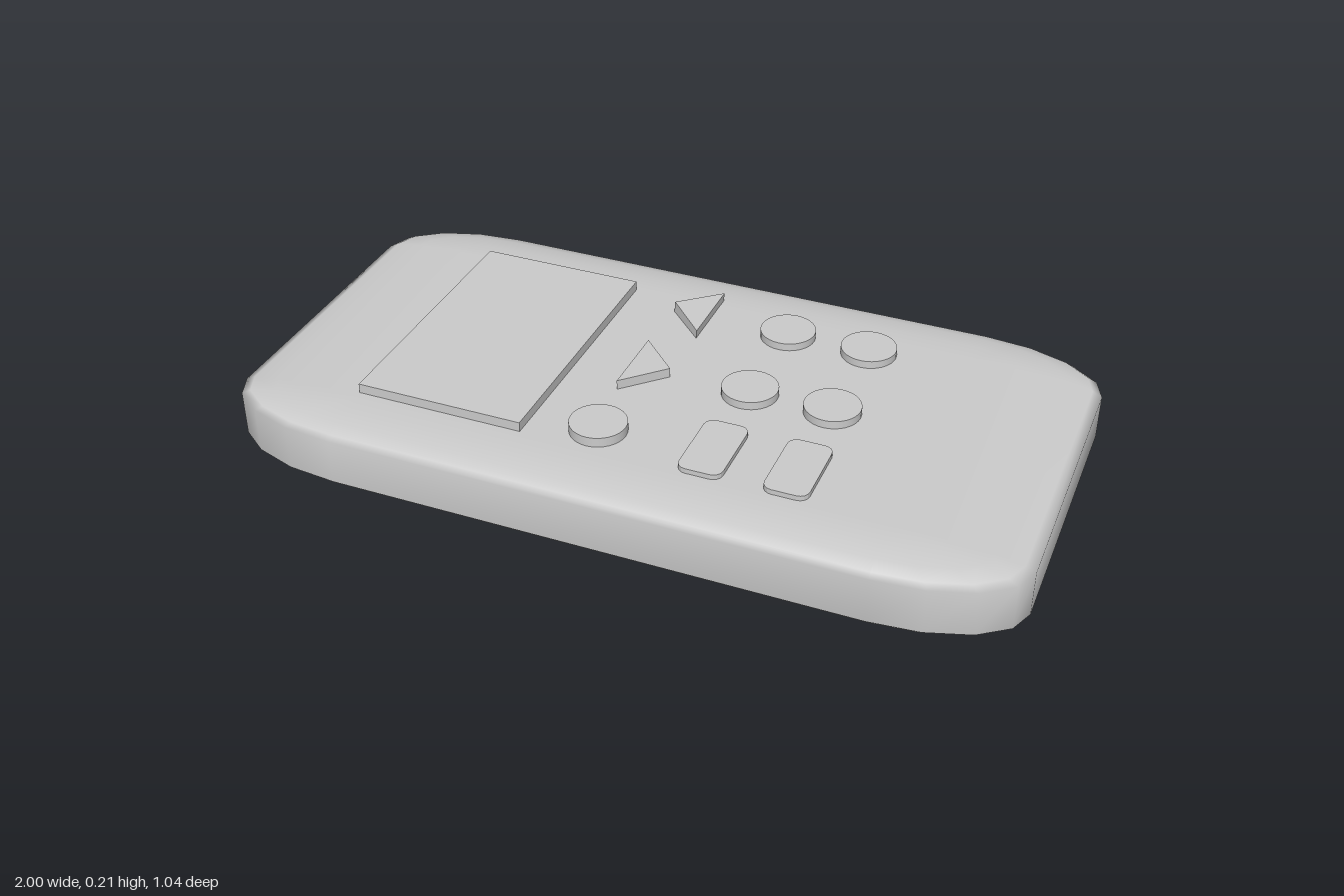
import * as THREE from 'three';
import { mergeVertices } from 'three/addons/utils/BufferGeometryUtils.js';

const material = new THREE.MeshStandardMaterial({ color: 0xcccccc });

function add(group, name, geometry, x = 0, y = 0, z = 0) {
  const mesh = new THREE.Mesh(geometry, material);
  mesh.name = name;
  mesh.position.set(x, y, z);
  group.add(mesh);
  return mesh;
}

// Slab with ellipsoidal corners, built from stacked rounded outlines
function bodyGeometry(half, radius, steps) {
  const core = half.clone().sub(radius);
  const corners = [[1, 1], [-1, 1], [-1, -1], [1, -1]];
  const positions = [], index = [];
  const perRing = 4 * (steps + 1);
  const ringCount = 2 * (steps + 1);
  for (let r = 0; r < ringCount; r++) {
    const upper = r > steps;
    const phi = ((upper ? r - steps - 1 : r - steps) / steps) * Math.PI / 2;
    const c = Math.cos(phi);
    const y = half.y + (upper ? core.y : -core.y) + radius.y * Math.sin(phi);
    corners.forEach(([sx, sz], k) => {
      for (let i = 0; i <= steps; i++) {
        const t = (k + i / steps) * Math.PI / 2;
        positions.push(sx * core.x + radius.x * c * Math.cos(t), y, sz * core.z + radius.z * c * Math.sin(t));
      }
    });
  }
  for (let r = 0; r < ringCount - 1; r++) {
    for (let i = 0; i < perRing; i++) {
      const a = r * perRing + i, b = r * perRing + (i + 1) % perRing;
      index.push(a, a + perRing, b, b, a + perRing, b + perRing);
    }
  }
  // Flat bottom and top panels between the four corner centres
  const q = steps + 1, top = (ringCount - 1) * perRing;
  index.push(0, q, 2 * q, 0, 2 * q, 3 * q);
  index.push(top, top + 2 * q, top + q, top, top + 3 * q, top + 2 * q);
  const geometry = new THREE.BufferGeometry();
  geometry.setAttribute('position', new THREE.Float32BufferAttribute(positions, 3));
  geometry.setIndex(index);
  const welded = mergeVertices(geometry, 1e-4);
  welded.computeVertexNormals();
  return welded;
}

// Upright plate from a plan outline of [x, z] points
function plate(points, height) {
  const shape = new THREE.Shape(points.map(([x, z]) => new THREE.Vector2(x, -z)));
  return new THREE.ExtrudeGeometry(shape, { depth: height, bevelEnabled: false }).rotateX(-Math.PI / 2);
}

function roundedPlate(w, d, r, height) {
  const points = [];
  for (let k = 0; k < 4; k++) {
    const sx = k === 0 || k === 3 ? 1 : -1, sz = k < 2 ? 1 : -1;
    for (let i = 0; i <= 4; i++) {
      const t = (k + i / 4) * Math.PI / 2;
      points.push([sx * (w / 2 - r) + r * Math.cos(t), sz * (d / 2 - r) + r * Math.sin(t)]);
    }
  }
  return plate(points, height);
}

export function createModel() {
  const model = new THREE.Group();
  model.name = 'handheldDevice';

  add(model, 'body', bodyGeometry(new THREE.Vector3(1, 0.091, 0.522), new THREE.Vector3(0.33, 0.032, 0.16), 4));

  // Raised display
  add(model, 'screen', new THREE.BoxGeometry(0.435, 0.05, 0.705), -0.462, 0.182, -0.002);

  // Round keys: four in a grid and one beside the display
  const keys = [[0.205, -0.29, 0.202], [0.42, -0.29, 0.202], [0.205, -0.007, 0.203], [0.416, -0.007, 0.203], [-0.075, 0.273, 0.207]];
  for (const [x, z, top] of keys) {
    add(model, 'roundButton', new THREE.CylinderGeometry(0.071, 0.071, 0.04, 32), x, top - 0.02, z);
  }

  // Rounded rectangular keys
  for (const x of [0.209, 0.418]) {
    add(model, 'rectangularButton', roundedPlate(0.11, 0.208, 0.025, 0.03), x, 0.165, 0.252);
  }

  // Arrow keys; the back one is tilted with its tip raised
  const backArrow = add(model, 'backArrowButton', plate([[-0.1, 0], [0, 0.1], [0, -0.1]], 0.04), -0.01, 0.165, -0.29);
  backArrow.rotation.z = -0.07;
  add(model, 'forwardArrowButton', plate([[0.1, 0], [0, -0.1], [0, 0.1]], 0.04), -0.103, 0.167, 0);

  return model;
}
